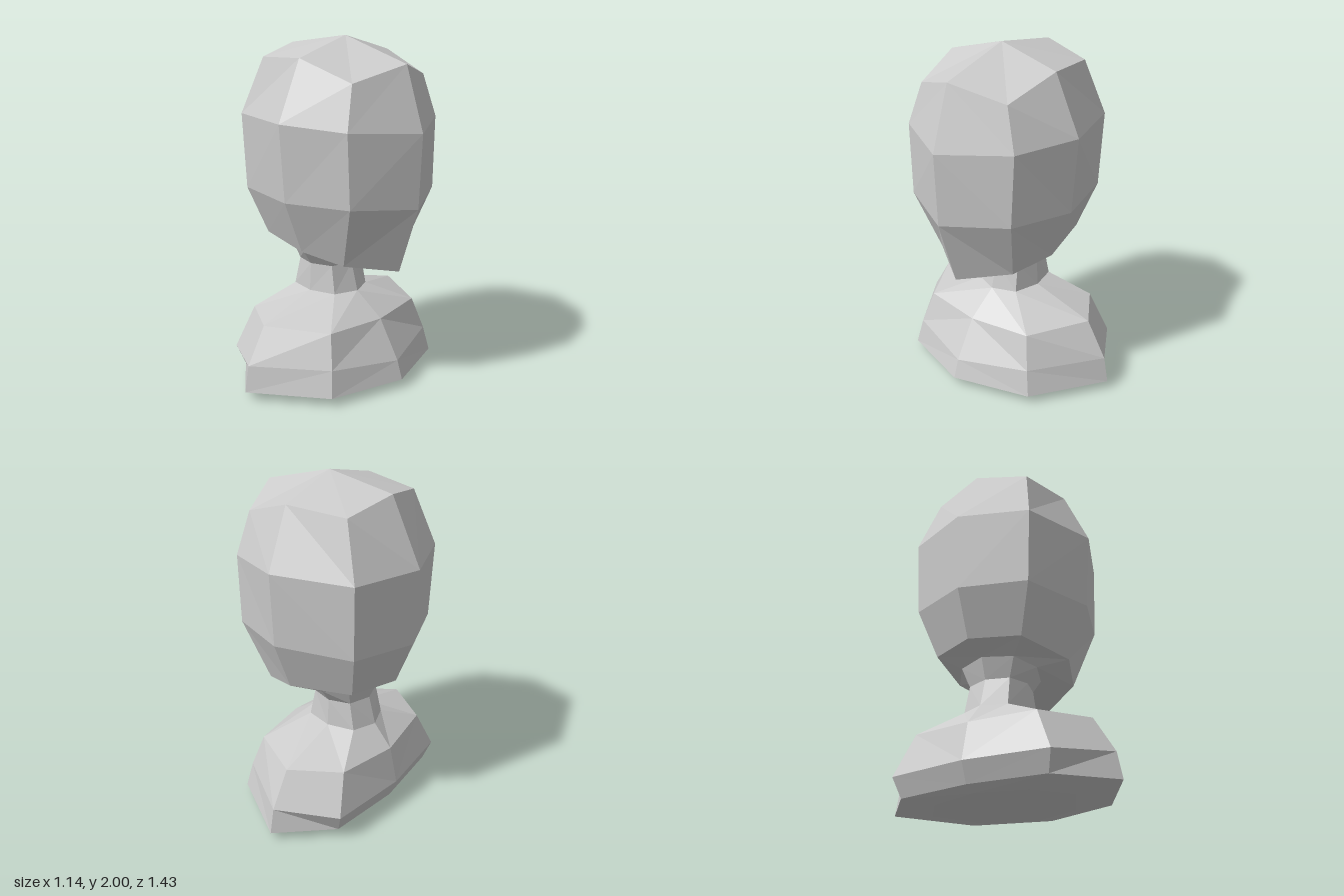
import * as THREE from 'three';

const material = new THREE.MeshStandardMaterial({ color: 0xcccccc, flatShading: true });

// Eight-sided ring, mirrored in z. Each point is [x, y]: face side, face diagonal, flank, rear diagonal, rear.
function ring([front, frontDiag, flank, rearDiag, rear], zFlank, zFront, zRear = zFront) {
  const half = [[...front, 0], [...frontDiag, zFront], [...flank, zFlank], [...rearDiag, zRear], [...rear, 0]];
  const mirrored = half.slice(1, 4).reverse().map(([x, y, z]) => [x, y, -z]);
  return [...half, ...mirrored];
}

// Skin rings from bottom to top, with optional end points closing either end
function loft(name, rings, bottom, top) {
  const points = rings.flat();
  const index = [];
  const last = (rings.length - 1) * 8;
  for (let r = 0; r < rings.length - 1; r++) {
    for (let i = 0; i < 8; i++) {
      const a = r * 8 + i, b = r * 8 + (i + 1) % 8;
      // Diagonals mirrored across z = 0
      if (i < 4) index.push(a, a + 8, b, b, a + 8, b + 8);
      else index.push(a, a + 8, b + 8, a, b + 8, b);
    }
  }
  if (bottom) {
    const c = points.push(bottom) - 1;
    for (let i = 0; i < 8; i++) index.push(i, (i + 1) % 8, c);
  }
  if (top) {
    const c = points.push(top) - 1;
    for (let i = 0; i < 8; i++) index.push(last + (i + 1) % 8, last + i, c);
  }
  const geometry = new THREE.BufferGeometry();
  geometry.setAttribute('position', new THREE.Float32BufferAttribute(points.flat(), 3));
  geometry.setIndex(index);
  const flat = geometry.toNonIndexed();
  flat.computeVertexNormals();
  const mesh = new THREE.Mesh(flat, material);
  mesh.name = name;
  return mesh;
}

export function createModel() {
  const group = new THREE.Group();
  group.name = 'bust';

  // Rings shared between neighbouring parts
  const neckBottom = ring([[0.115, 0.515], [0.06, 0.515], [-0.1, 0.515], [-0.26, 0.515], [-0.315, 0.515]], 0.18, 0.14);
  const neckTop = ring([[0.11, 0.735], [0.05, 0.745], [-0.1, 0.765], [-0.25, 0.79], [-0.31, 0.8]], 0.23, 0.17);

  // Shoulders with a shallow bowl underneath
  group.add(loft('shoulders', [
    ring([[0.3, 0.017], [0.2, 0.015], [-0.1, 0.015], [-0.3, 0.015], [-0.37, 0.02]], 0.45, 0.29),
    ring([[0.46, 0.05], [0.32, 0.05], [-0.1, 0.05], [-0.385, 0.05], [-0.435, 0.05]], 0.715, 0.45),
    ring([[0.425, 0.16], [0.295, 0.2], [-0.1, 0.2], [-0.425, 0.165], [-0.48, 0.165]], 0.685, 0.42, 0.485),
    ring([[0.295, 0.385], [0.24, 0.39], [-0.1, 0.405], [-0.37, 0.4], [-0.43, 0.385]], 0.56, 0.37, 0.38),
    neckBottom,
  ], [-0.05, 0, 0]));

  // Neck, pinched in the middle
  group.add(loft('neck', [
    neckBottom,
    ring([[0.07, 0.68], [0.03, 0.68], [-0.1, 0.68], [-0.225, 0.68], [-0.27, 0.68]], 0.17, 0.13),
    neckTop,
  ]));

  // Head with the chin dropping at the face side
  group.add(loft('head', [
    neckTop,
    ring([[0.425, 0.705], [0.25, 0.765], [0.02, 0.825], [-0.345, 0.85], [-0.45, 0.855]], 0.37, 0.275),
    ring([[0.55, 1.09], [0.375, 1.125], [0.02, 1.13], [-0.42, 1.125], [-0.555, 1.12]], 0.495, 0.365),
    ring([[0.57, 1.51], [0.372, 1.54], [0.015, 1.565], [-0.432, 1.56], [-0.575, 1.565]], 0.525, 0.382),
    ring([[0.453, 1.87], [0.335, 1.785], [0.02, 1.9], [-0.325, 1.88], [-0.39, 1.94]], 0.37, 0.305),
  ], null, [0.02, 2, 0]));

  return group;
}
